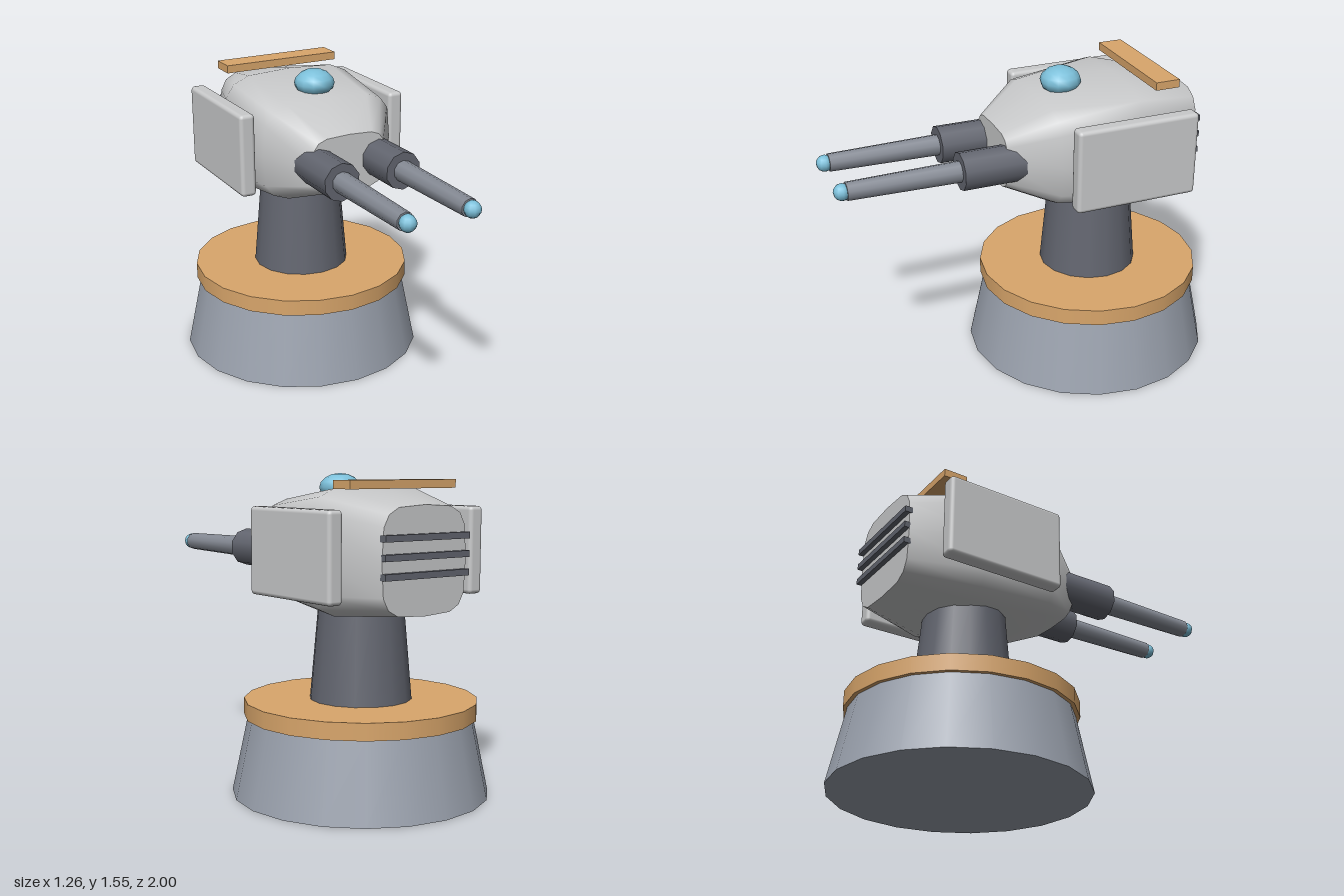
import * as THREE from 'three';
import { RoundedBoxGeometry } from 'three/addons/geometries/RoundedBoxGeometry.js';

const mat = (name, color) => Object.assign(new THREE.MeshStandardMaterial({ color }), { name });

// Rounded-square cross-section of the turret housing
const SIDES = 16;
function section(halfW, halfH, cy) {
  const soft = (v) => Math.sign(v) * Math.sqrt(Math.abs(v));
  return Array.from({ length: SIDES }, (_, j) => {
    const a = (j / SIDES) * Math.PI * 2;
    const c = Math.abs(Math.cos(a)) < 1e-9 ? 0 : Math.cos(a);
    const s = Math.abs(Math.sin(a)) < 1e-9 ? 0 : Math.sin(a);
    return new THREE.Vector2(halfW * soft(c), cy + halfH * soft(s));
  });
}

// Smooth skin through sections ordered front to back
function loft(sections) {
  const pos = [], index = [];
  sections.forEach(({ z, pts }) => pts.forEach((p) => pos.push(p.x, p.y, z)));
  for (let i = 0; i < sections.length - 1; i++) {
    for (let j = 0; j < SIDES; j++) {
      const k = (j + 1) % SIDES;
      const a = i * SIDES + j, b = i * SIDES + k, c = a + SIDES, d = b + SIDES;
      index.push(a, c, b, b, c, d);
    }
  }
  const g = new THREE.BufferGeometry();
  g.setAttribute('position', new THREE.Float32BufferAttribute(pos, 3));
  g.setIndex(index);
  g.computeVertexNormals();
  return g;
}

export function createModel() {
  const model = new THREE.Group();
  model.name = 'twinGunTurret';

  const light = mat('lightGrey', 0xc9cacb);
  const steel = mat('steelGrey', 0x9ba2ae);
  const gunmetal = mat('gunmetal', 0x858a94);
  const dark = mat('darkGrey', 0x636670);
  const tan = mat('tan', 0xd9a66b);
  const blue = mat('blue', 0x7cc0da);

  const add = (name, geometry, material, x = 0, y = 0, z = 0, parent = model) => {
    const m = new THREE.Mesh(geometry, material);
    m.name = name;
    m.position.set(x, y, z);
    parent.add(m);
    return m;
  };

  // Pedestal
  const cz = -0.37;
  add('base', new THREE.CylinderGeometry(0.55, 0.63, 0.38, 20), steel, 0, 0.19, cz);
  add('deckRing', new THREE.CylinderGeometry(0.57, 0.57, 0.082, 20), tan, 0, 0.421, cz);
  add('column', new THREE.CylinderGeometry(0.21, 0.25, 0.45, 16), dark, 0, 0.685, cz);

  // Housing: z, half width, half height, centre height
  const sections = [
    [0.16, 0.2, 0.145, 1.162],
    [-0.06, 0.36, 0.251, 1.183],
    [-0.47, 0.385, 0.308, 1.186],
    [-0.83, 0.25, 0.252, 1.162],
  ].map(([z, w, h, cy]) => ({ z, pts: section(w, h, cy) }));
  const housing = new THREE.Group();
  housing.name = 'housing';
  model.add(housing);
  add('housingSkin', loft(sections), light, 0, 0, 0, housing);
  const cap = (s) => new THREE.ShapeGeometry(new THREE.Shape(s.pts));
  add('housingFront', cap(sections[0]), light, 0, 0, 0.16, housing);
  add('housingBack', cap(sections[3]).rotateY(Math.PI), light, 0, 0, -0.83, housing);

  // Rear vent slats
  for (const y of [1.1, 1.185, 1.27]) {
    add('ventSlat', new THREE.BoxGeometry(0.5, 0.03, 0.04), dark, 0, y, -0.835);
  }

  // Top sensor dome and rear bar
  const dome = add('sensorDome', new THREE.SphereGeometry(0.102, 12, 8), blue, 0, 1.48, -0.2);
  dome.scale.y = 0.68;
  add('topBar', new THREE.BoxGeometry(0.63, 0.04, 0.125), tan, 0, 1.502, -0.623);

  // Mirrored armour plates and guns
  for (const [side, s] of [['left', 1], ['right', -1]]) {
    add(side + 'ArmourPlate', new RoundedBoxGeometry(0.08, 0.42, 0.63, 2, 0.02), light,
      s * 0.42, 1.185, -0.41);

    const gun = new THREE.Group();
    gun.name = side + 'Gun';
    gun.position.set(s * 0.167, 1.163, 0);
    model.add(gun);
    const tube = (name, rFront, rBack, z0, z1, material) =>
      add(name, new THREE.CylinderGeometry(rFront, rBack, z1 - z0, 10).rotateX(Math.PI / 2),
        material, 0, 0, (z0 + z1) / 2, gun);
    tube('sleeve', 0.095, 0.095, 0, 0.39, dark);
    tube('barrel', 0.045, 0.054, 0.35, 0.94, gunmetal);
    add('muzzleTip', new THREE.SphereGeometry(0.041, 10, 8), blue, 0, 0, 0.959, gun);
  }
  return model;
}
